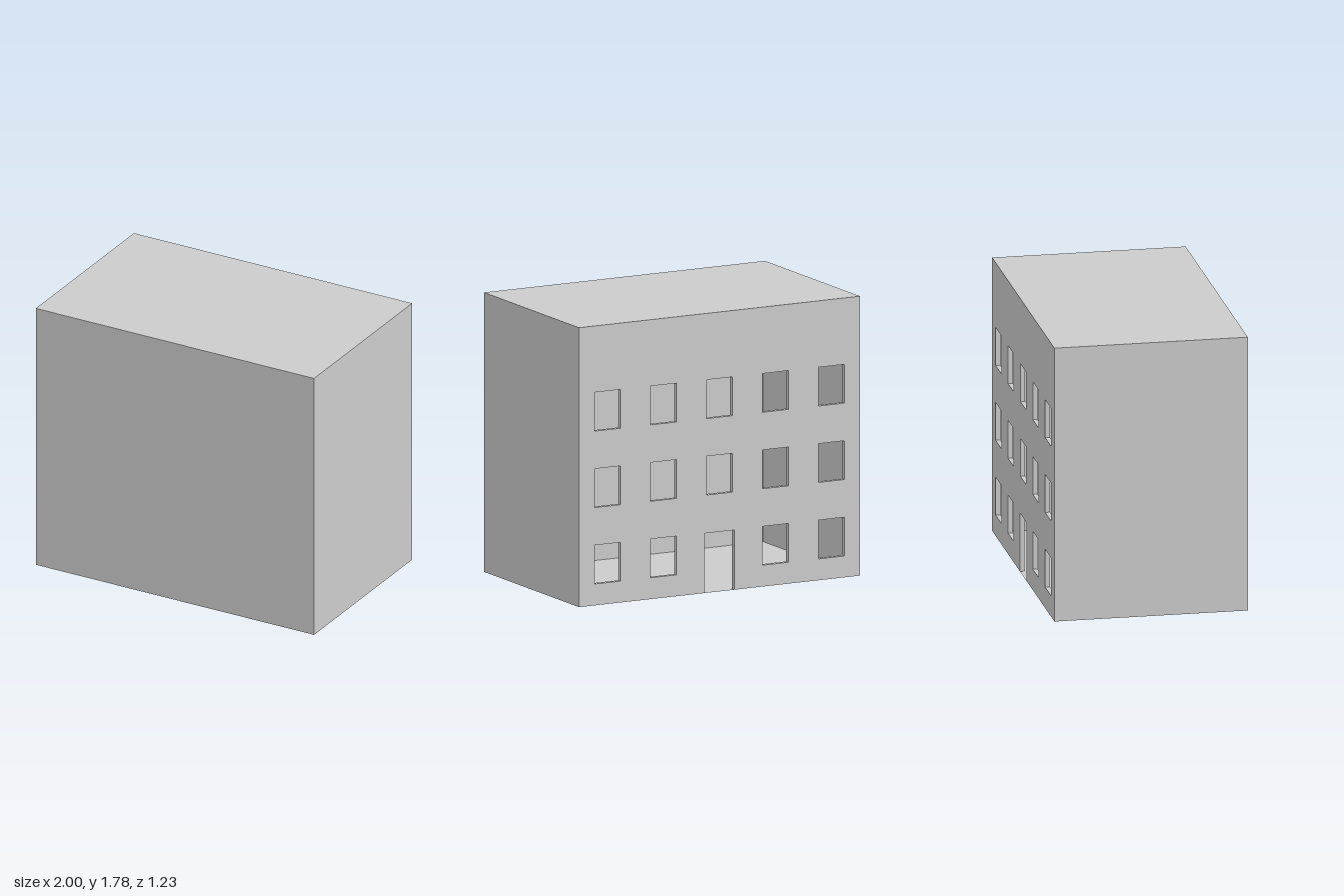
import * as THREE from 'three';

const W = 2, H = 1.78, D = 1.23, T = 0.03;

export function createModel() {
  const group = new THREE.Group();
  const grey = new THREE.MeshStandardMaterial({ color: 0xcccccc, flatShading: true });
  const sheet = new THREE.MeshStandardMaterial({ color: 0xcccccc, side: THREE.DoubleSide });

  const add = (name, geometry, x, y, z, material = grey) => {
    const mesh = new THREE.Mesh(geometry, material);
    mesh.name = name;
    mesh.position.set(x, y, z);
    group.add(mesh);
    return mesh;
  };

  // Wall outline with the doorway as a notch in its lower edge
  const doorHalf = 0.105, doorTop = 0.38, wallTop = H - T;
  const outline = new THREE.Shape([
    [-W / 2, 0], [-doorHalf, 0], [-doorHalf, doorTop], [doorHalf, doorTop],
    [doorHalf, 0], [W / 2, 0], [W / 2, wallTop], [-W / 2, wallTop],
  ].map(([x, y]) => new THREE.Vector2(x, y)));

  // Three rows of five windows; the doorway replaces the lowest middle one
  const winHalf = 0.0925, winHeight = 0.247;
  for (let row = 0; row < 3; row++) {
    for (let col = -2; col <= 2; col++) {
      if (row === 0 && col === 0) continue;
      const x = col * 0.398, y = 0.136 + row * 0.487;
      outline.holes.push(new THREE.Path([
        new THREE.Vector2(x - winHalf, y),
        new THREE.Vector2(x - winHalf, y + winHeight),
        new THREE.Vector2(x + winHalf, y + winHeight),
        new THREE.Vector2(x + winHalf, y),
      ]));
    }
  }
  add('windowWall', new THREE.ExtrudeGeometry(outline, { depth: T, bevelEnabled: false }), 0, 0, -D / 2);

  // Blank walls
  add('frontWall', new THREE.BoxGeometry(W, wallTop, T), 0, wallTop / 2, D / 2 - T / 2);
  for (const [name, side] of [['leftWall', 1], ['rightWall', -1]]) {
    add(name, new THREE.BoxGeometry(T, wallTop, D - 2 * T), side * (W / 2 - T / 2), wallTop / 2, 0);
  }

  // Flat roof and thin floor level with the doorway
  add('roof', new THREE.BoxGeometry(W, T, D), 0, H - T / 2, 0);
  add('floor', new THREE.PlaneGeometry(W, D).rotateX(-Math.PI / 2), 0, 0, 0, sheet);

  return group;
}
